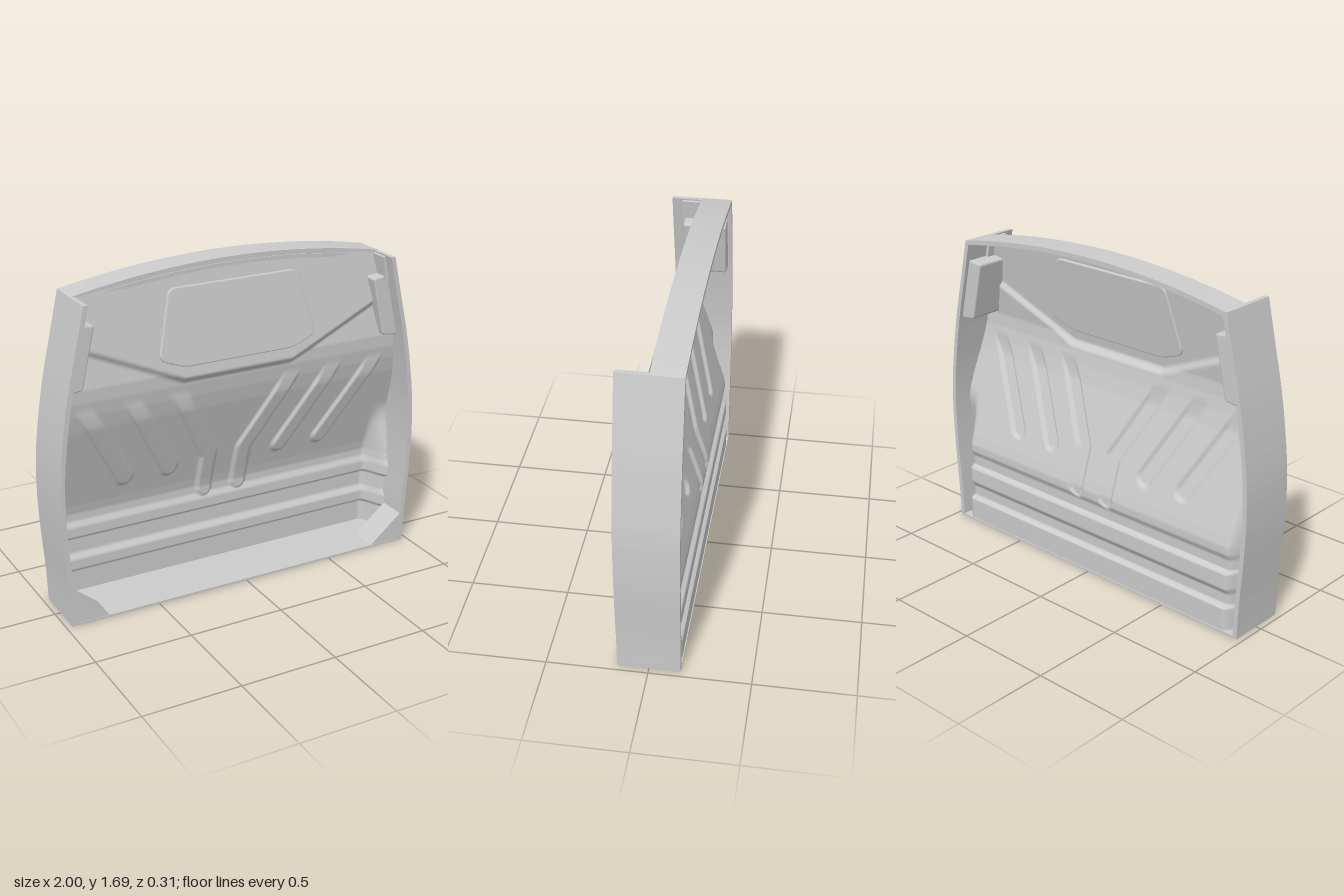
import * as THREE from 'three';

const D = 0.155; // half depth of the frame
const T = 0.024; // wall thickness

// outer half width of the frame, sampled up the height
const sidePts = [[0, 0.97], [0.2, 0.978], [0.42, 0.993], [0.62, 1], [0.82, 0.993], [1.02, 0.968], [1.2, 0.937], [1.4, 0.892], [1.61, 0.845]];
// height -> depth of the lower panel: two stepped ribs, then a forward slope to the shoulder
const profile = [[0, -0.15], [0.13, -0.15], [0.14, -0.125], [0.2, -0.125], [0.23, -0.145], [0.315, -0.145], [0.325, -0.12],
  [0.38, -0.12], [0.41, -0.135], [0.45, -0.135], [0.5, -0.122], [0.95, 0.02], [1.03, 0.04], [1.1, 0.052], [1.18, 0.056], [2, 0.056]];
// centre lines of the diagonal stiffening ribs on one half
const ribs = [[[0.83, 1.08], [0.565, 0.615]], [[0.575, 1.08], [0.32, 0.615]], [[0.33, 1.08], [0.1, 0.65]], [[0.1, 0.65], [0.1, 0.44]]];

function lerpTable(table, t) {
  for (let i = 1; i < table.length; i++) {
    const [a, va] = table[i - 1], [b, vb] = table[i];
    if (t <= b) return va + (vb - va) * (t - a) / (b - a);
  }
  return table[table.length - 1][1];
}

function segmentDistance(x, y, [[ax, ay], [bx, by]]) {
  const dx = bx - ax, dy = by - ay;
  const t = THREE.MathUtils.clamp(((x - ax) * dx + (y - ay) * dy) / (dx * dx + dy * dy), 0, 1);
  return Math.hypot(x - ax - t * dx, y - ay - t * dy);
}

// depth of the pressed panel at a point
function panelDepth(x, y) {
  const ax = Math.abs(x), { smoothstep } = THREE.MathUtils;
  const upper = 0.085 - 0.16 * (y - 1.12);
  let lower = Math.min(lerpTable(profile, y), upper - 0.022);
  // ribs, fading into the shoulder
  const d = Math.min(...ribs.map((r) => segmentDistance(ax, y, r)));
  lower += 0.016 * (1 - smoothstep(d, 0.034, 0.048)) * (1 - smoothstep(y, 0.95, 1.08));
  // the recess closes with a ramp at both sides
  const ramp = smoothstep(ax, 0.88, 0.965) * (1 - smoothstep(y, 0.4, 0.75));
  lower += 0.13 * ramp;
  // step under the V-shaped crease
  const crease = 1.13 + Math.max(0, ax - 0.3) * 0.43;
  return THREE.MathUtils.lerp(lower, upper, smoothstep(y, crease - 0.02, crease + 0.02));
}

function panelGeometry(nx = 220, ny = 230) {
  const geo = new THREE.PlaneGeometry(2, 1, nx, ny);
  const p = geo.attributes.position;
  for (let i = 0; i < p.count; i++) {
    const u = p.getX(i), v = p.getY(i) + 0.5;
    const y = 0.005 + v * (1.6 + 0.055 * (1 - u * u) * v * v);
    const x = u * (lerpTable(sidePts, y) - T * 0.6);
    p.setXYZ(i, x, y, panelDepth(x, y));
  }
  geo.computeVertexNormals();
  return geo;
}

function polygon(points) {
  return new THREE.Shape(points.map(([x, y]) => new THREE.Vector2(x, y)));
}

function rounded(points, r) {
  const pts = points.map(([x, y]) => new THREE.Vector2(x, y));
  const s = new THREE.Shape();
  pts.forEach((p, i) => {
    const prev = pts[(i + pts.length - 1) % pts.length], next = pts[(i + 1) % pts.length];
    const a = p.clone().add(prev.clone().sub(p).setLength(r));
    const b = p.clone().add(next.clone().sub(p).setLength(r));
    if (i) s.lineTo(a.x, a.y); else s.moveTo(a.x, a.y);
    s.quadraticCurveTo(p.x, p.y, b.x, b.y);
  });
  s.closePath();
  return s;
}

function extrude(shape, z0, z1, bevel = 0) {
  const geo = new THREE.ExtrudeGeometry(shape, {
    depth: z1 - z0 - bevel, bevelEnabled: bevel > 0, bevelSize: bevel, bevelThickness: bevel,
    bevelOffset: -bevel, bevelSegments: 2, curveSegments: 6,
  });
  return geo.translate(0, 0, z0);
}

export function createModel() {
  const model = new THREE.Group();
  const grey = new THREE.MeshStandardMaterial({ color: 0xcccccc });
  const sheet = new THREE.MeshStandardMaterial({ color: 0xcccccc, side: THREE.DoubleSide });
  const add = (name, geo, mat = grey) => {
    const mesh = new THREE.Mesh(geo, mat);
    mesh.name = name;
    model.add(mesh);
    return mesh;
  };

  add('pressedPanel', panelGeometry(), sheet);

  // curved side walls, corner gussets and the pockets near the top
  const curve = new THREE.SplineCurve(sidePts.map(([y, x]) => new THREE.Vector2(x, y))).getPoints(32);
  for (const [side, s] of [['left', 1], ['right', -1]]) {
    const flip = (pts) => pts.map(([x, y]) => [s * x, y]);
    const outer = curve.map((p) => [p.x, p.y]);
    const inner = curve.map((p) => [p.x - T, p.y]).reverse();
    add(side + 'Wall', extrude(polygon(flip([...outer, ...inner])), -D, D));
    add(side + 'Gusset', extrude(polygon(flip([[0.965, 0.01], [0.77, 0.01], [0.965, 0.17]])), 0, D - 0.003));
    const pocket = rounded(flip([[0.855, 1.5], [0.765, 1.49], [0.835, 1.18], [0.925, 1.17]]), 0.015);
    add(side + 'Pocket', extrude(pocket, -0.125, 0.09, 0.008));
    add(side + 'TopFlange', extrude(polygon(flip([[0.84, 1.605], [0.81, 1.6], [0.83, 1.48], [0.865, 1.48]])), -0.02, 0.1));
  }

  // arched top lip, covering the rear half of the depth
  const arch = (x, drop) => 1.692 - drop - 0.082 * (x / 0.845) ** 2;
  const top = [], under = [];
  for (let i = 0; i <= 32; i++) {
    const x = -0.845 + 1.69 * i / 32;
    top.push([x, arch(x, 0)]);
    under.unshift([x, arch(x, T)]);
  }
  add('topLip', extrude(polygon([...top, ...under]), -D, 0));
  // narrow front flange under the lip
  const flange = under.map(([x, y]) => [x, y - 0.02]).reverse();
  add('topFlange', extrude(polygon([...flange, ...under]), -0.01, 0.006));

  // floor
  add('floor', new THREE.BoxGeometry(1.94, 0.012, 2 * D).translate(0, 0.006, 0));

  // raised plate on the upper panel, leaning with its slope
  const plate = rounded([[-0.355, 0.39], [-0.435, 0.05], [-0.3, 0], [0.3, 0], [0.435, 0.05], [0.355, 0.39]], 0.04);
  const cover = add('upperPlate', extrude(plate, -0.006, 0.012, 0.006));
  cover.position.set(0, 1.2, panelDepth(0, 1.2));
  cover.rotation.x = -Math.atan(0.16);

  return model;
}
